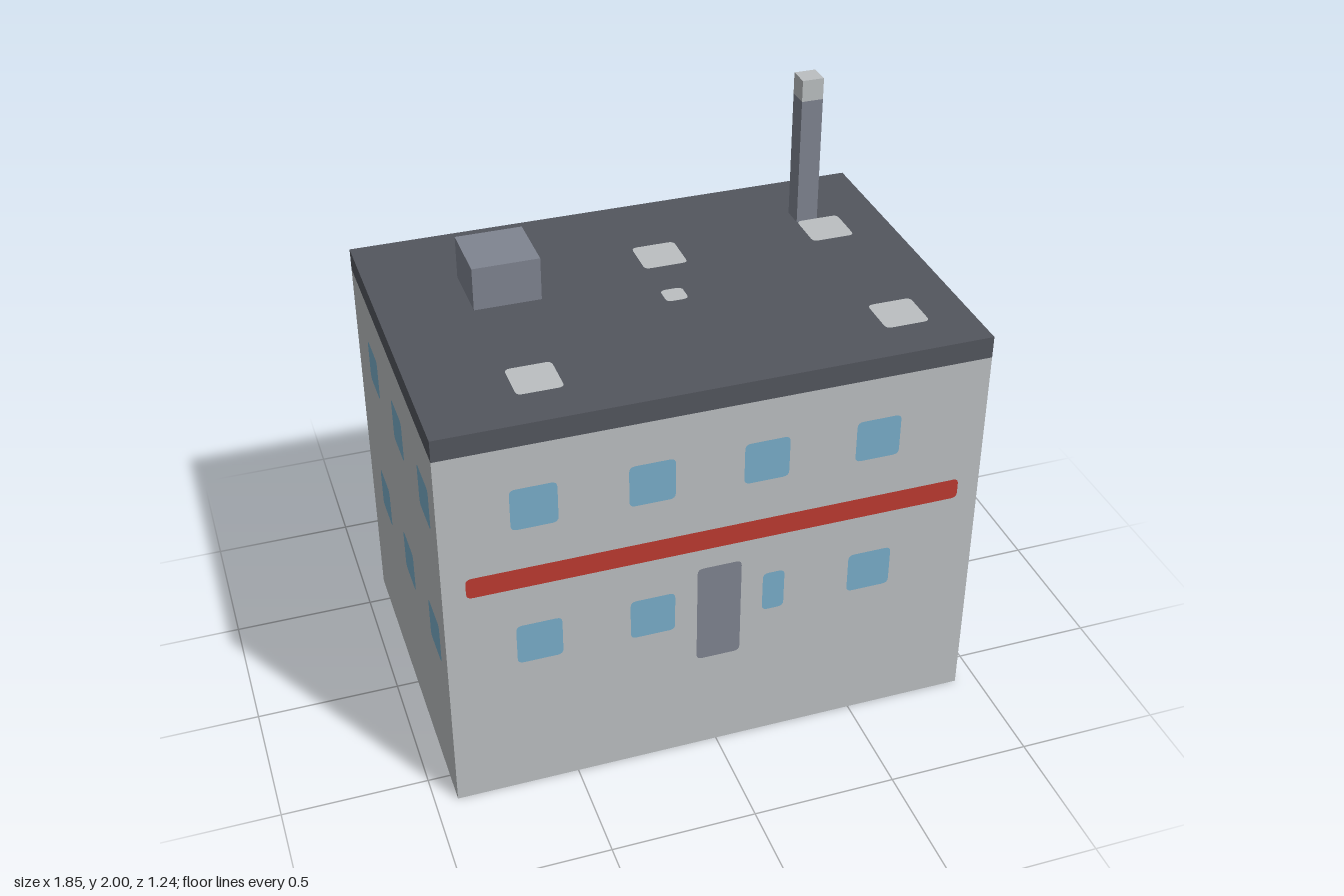
import * as THREE from 'three';

const U = 1 / 13; // modelling unit: the building is 24 x 16 units, 19 high

const material = (name, color) => {
  const m = new THREE.MeshStandardMaterial({ color });
  m.name = name;
  return m;
};

export function createModel() {
  const wall = material('light grey', 0xbbbfc1);
  const dark = material('dark roof grey', 0x53565e);
  const slate = material('slate grey', 0x7f8490);
  const glass = material('window blue', 0x79adc9);
  const red = material('stripe red', 0xbc3a30);

  const model = new THREE.Group();
  model.name = 'building';

  // Box given by its lower and upper corners in units
  function box(name, mat, [x0, y0, z0], [x1, y1, z1], parent = model) {
    const mesh = new THREE.Mesh(
      new THREE.BoxGeometry((x1 - x0) * U, (y1 - y0) * U, (z1 - z0) * U), mat);
    mesh.position.set((x0 + x1) * U / 2, (y0 + y1) * U / 2, (z0 + z1) * U / 2);
    mesh.name = name;
    parent.add(mesh);
  }

  // Flat rounded panel, from (a0, b0) to (a1, b1) in units on a face's own plane
  function panel(name, mat, face, a0, b0, a1, b1) {
    const w = (a1 - a0) * U, h = (b1 - b0) * U, r = 0.02;
    const s = new THREE.Shape();
    s.moveTo(r, 0);
    s.lineTo(w - r, 0);
    s.quadraticCurveTo(w, 0, w, r);
    s.lineTo(w, h - r);
    s.quadraticCurveTo(w, h, w - r, h);
    s.lineTo(r, h);
    s.quadraticCurveTo(0, h, 0, h - r);
    s.lineTo(0, r);
    s.quadraticCurveTo(0, 0, r, 0);
    const mesh = new THREE.Mesh(new THREE.ShapeGeometry(s, 4), mat);
    mesh.position.set(a0 * U, b0 * U, 0);
    mesh.name = name;
    face.add(mesh);
  }

  // Plane lying just outside one side of the building
  function facePlane(name, distance, turn) {
    const face = new THREE.Group();
    face.name = name;
    face.rotation.y = turn;
    face.position.set(Math.sin(turn), 0, Math.cos(turn)).multiplyScalar(distance * U + 0.003);
    model.add(face);
    return face;
  }

  // Hollow walls, open underneath
  const walls = new THREE.Group();
  walls.name = 'walls';
  model.add(walls);
  const ring = new THREE.Shape([[-12, -8], [12, -8], [12, 8], [-12, 8]]
    .map(([x, y]) => new THREE.Vector2(x * U, y * U)));
  ring.holes.push(new THREE.Path([[-11, -7], [-11, 7], [11, 7], [11, -7]]
    .map(([x, y]) => new THREE.Vector2(x * U, y * U))));
  const shell = new THREE.Mesh(
    new THREE.ExtrudeGeometry(ring, { depth: 18 * U, bevelEnabled: false }), wall);
  shell.rotation.x = -Math.PI / 2;
  shell.name = 'wallShell';
  walls.add(shell);

  // Inner floor slab and roof
  box('floorSlab', dark, [-11, 4, -7], [11, 5, 7]);
  box('roof', dark, [-12, 18, -8], [12, 19, 8]);

  // Roof vent and chimney
  box('roofVent', slate, [-8, 19, -4], [-5, 21, -1]);
  box('chimney', slate, [8, 19, -5], [9, 25, -4]);
  box('chimneyCap', wall, [8, 25, -5], [9, 26, -4]);

  // Window rows on all four sides
  const front = facePlane('frontDetails', 8, 0);
  const back = facePlane('backDetails', 8, Math.PI);
  const left = facePlane('leftDetails', 12, Math.PI / 2);
  const right = facePlane('rightDetails', 12, -Math.PI / 2);
  for (const y of [7, 14]) {
    for (const x of [-9, -4, 1, 6]) {
      const cut = x === 1 && y === 7 ? 1 : 0; // narrow window beside the door
      panel('window', glass, front, x + cut, y, x + 2, y + 2);
      panel('window', glass, back, -x - 2, y, -x, y + 2);
    }
    for (const z of [-5, 0, 5]) {
      panel('window', glass, left, -z - 2, y, -z, y + 2);
      panel('window', glass, right, z, y, z + 2, y + 2);
    }
  }

  // Stripes and door
  panel('stripe', red, front, -11, 11, 11, 12);
  panel('stripe', red, back, -11, 11, 11, 12);
  panel('door', slate, front, -1, 5, 1, 10);

  // Light patches on the roof: x, z, size
  const top = new THREE.Group();
  top.name = 'roofPatches';
  top.rotation.x = -Math.PI / 2;
  top.position.y = 19 * U + 0.003;
  model.add(top);
  for (const [x, z, s] of [[-8, 4, 2], [8, 4, 2], [0, -4, 2], [8, -4, 2], [0, 0, 1]])
    panel('roofPatch', wall, top, x, -z - s, x + s, -z);

  return model;
}
